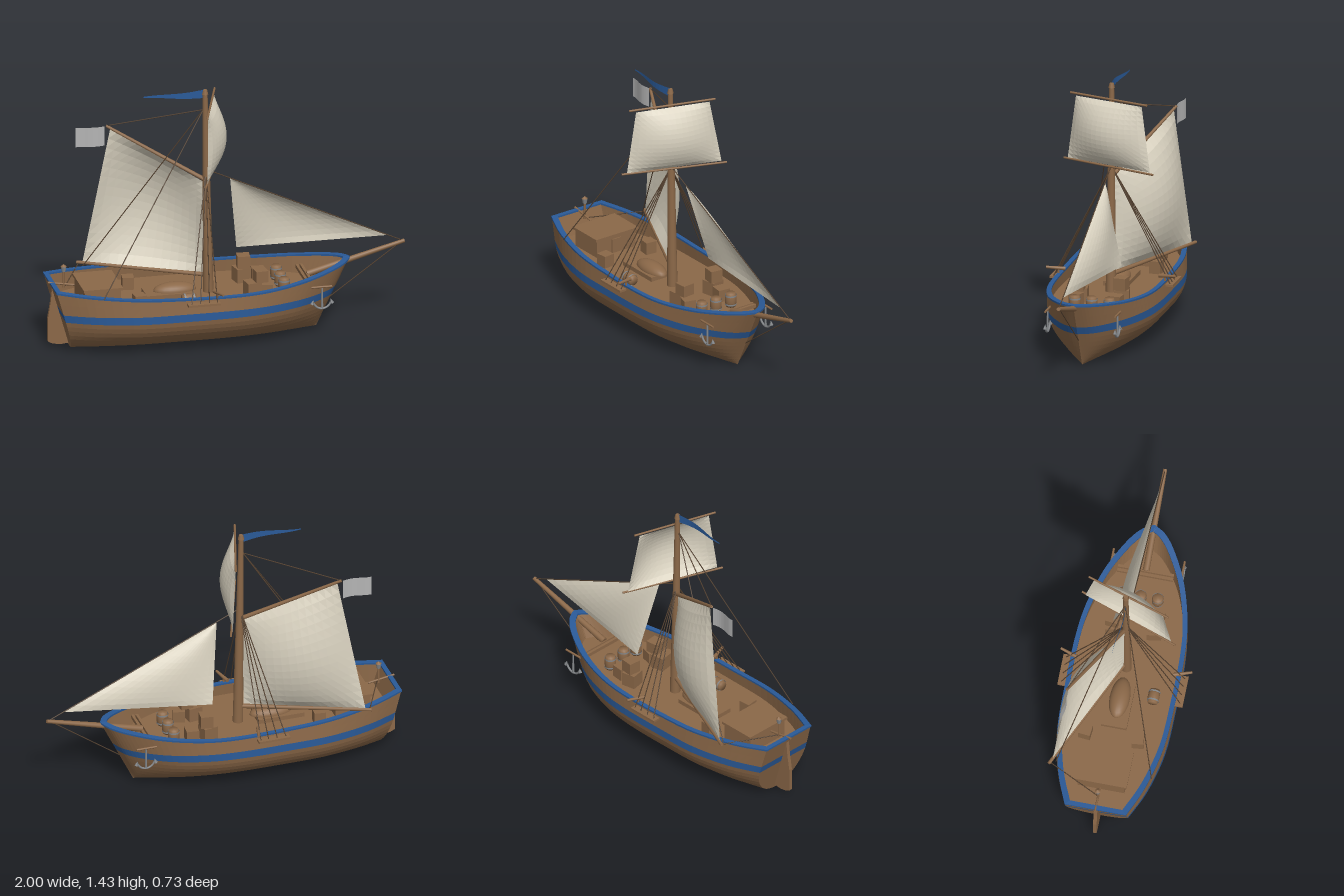
import * as THREE from 'three';

const flatMat = (name, color) => {
  const m = new THREE.MeshStandardMaterial({ color, side: THREE.DoubleSide });
  m.name = name;
  return m;
};
const V = (x, y, z) => new THREE.Vector3(x, y, z);

export function createModel() {
  const ship = new THREE.Group();
  ship.name = 'sailingShip';
  const wood = flatMat('wood', 0x8b6848);
  const blue = flatMat('bluePaint', 0x2a5a98);
  const canvas = flatMat('canvas', 0xd8d1bf);
  const rope = flatMat('rope', 0x574331);
  const metal = flatMat('metal', 0x85888b);
  const cloth = flatMat('greyCloth', 0xb4b4b4);

  const add = (name, geo, mat, x = 0, y = 0, z = 0, parent = ship) => {
    const m = new THREE.Mesh(geo, mat);
    m.name = name;
    m.position.set(x, y, z);
    parent.add(m);
    return m;
  };
  const box = (name, w, h, d, x, y, z, turn = 0) => {
    const m = add(name, new THREE.BoxGeometry(w, h, d), wood, x, y, z);
    m.rotation.y = turn;
    return m;
  };
  // tapered round bar between two points
  const rod = (name, a, b, r1, r2 = r1, mat = wood, sides = 10) => {
    const d = b.clone().sub(a);
    const m = add(name, new THREE.CylinderGeometry(r2, r1, d.length(), sides), mat);
    m.position.copy(a).addScaledVector(d, 0.5);
    m.quaternion.setFromUnitVectors(V(0, 1, 0), d.normalize());
    return m;
  };
  const line = (name, a, b) => rod(name, a, b, 0.003, 0.003, rope, 5);
  // faceted sheet through rows of points
  const sheet = (name, rows, mat) => {
    const n = rows[0].length, idx = [];
    for (let i = 0; i < rows.length - 1; i++)
      for (let j = 0; j < n - 1; j++) {
        const a = i * n + j, b = a + 1, c = a + n, d = c + 1;
        idx.push(a, b, d, a, d, c);
      }
    let g = new THREE.BufferGeometry().setFromPoints(rows.flat());
    g.setIndex(idx);
    g = g.toNonIndexed();
    g.computeVertexNormals();
    return add(name, g, mat);
  };

  // ---- hull: deck outline swept down through rounded sections ----
  const DECK = 0.25;
  const plan = new THREE.SplineCurve([[-0.985, 0.175], [-0.8, 0.25], [-0.55, 0.303], [-0.27, 0.312], [0, 0.31],
    [0.2, 0.288], [0.4, 0.23], [0.55, 0.15], [0.64, 0.075], [0.68, 0]].map(p => new THREE.Vector2(...p))).getPoints(45);
  const loop = [...plan.map(p => [p.x, p.y, 1]), ...plan.slice(0, -1).reverse().map(p => [p.x, p.y, -1])];
  loop.push(loop[0]);
  const top = x => 0.32 + (x < 0 ? 0.048 * (x / 0.98) ** 2 : 0.063 * (x / 0.68) ** 2);
  const hullPoint = ([x, w, side], y, inset = 0) => {
    const t = y / 0.37, f = (x + 0.985) / 1.665;
    const fullness = y < 0.22 ? Math.sqrt(1 - ((0.22 - y) / 0.22) ** 2) : 1 - 0.3 * (y - 0.22);
    const px = THREE.MathUtils.lerp(-0.88 - 0.105 * t, 0.5 + 0.18 * t, f);
    return V(px - (px + 0.15) * inset * 1.25, y, side * Math.max(0, w * fullness - inset));
  };
  const band = ys => ys.map(y => loop.map(s => hullPoint(s, y)));
  sheet('lowerHull', band([0, 0.003, 0.01, 0.022, 0.04, 0.062, 0.088, 0.116, 0.145, 0.173, 0.2]), wood);
  sheet('hullStripe', band([0.2, 0.243]), blue);
  sheet('upperHull', [0, 0.5, 1].map(k => loop.map(s => hullPoint(s, THREE.MathUtils.lerp(0.243, top(s[0]), k)))), wood);
  sheet('innerBulwark', [0, 1].map(k => loop.map(s => hullPoint(s, k ? top(s[0]) : DECK, 0.02))), wood);
  sheet('railCap', [[-0.003, -0.004], [-0.003, 0.006], [0.022, 0.006], [0.022, -0.004]].map(([inset, dy]) =>
    loop.map(s => hullPoint(s, top(s[0]), inset).add(V(0, dy, 0)))), blue);
  sheet('deck', plan.map(p => [1, -1].map(side => hullPoint([p.x, p.y, side], DECK, 0.018))), wood);

  // ---- rudder and tiller ----
  const blade = new THREE.Shape([[-0.88, 0.02], [-0.93, 0.014], [-0.975, 0.022], [-1, 0.035], [-1, 0.17],
    [-0.985, 0.26], [-0.975, 0.36], [-0.96, 0.28]].map(p => new THREE.Vector2(...p)));
  add('rudder', new THREE.ExtrudeGeometry(blade, { depth: 0.02, bevelEnabled: false }), wood, 0, 0, -0.01);
  rod('tiller', V(-1, 0.375, 0), V(-0.85, 0.35, 0), 0.006);

  // ---- deck fittings ----
  box('cabin', 0.2, 0.1, 0.26, -0.72, 0.3, 0);
  box('cabinRoof', 0.22, 0.015, 0.285, -0.72, 0.357, 0);
  box('cabinDoor', 0.008, 0.08, 0.06, -0.618, 0.295, 0);
  box('hatch', 0.26, 0.025, 0.14, -0.33, 0.262, 0);
  for (const s of [1, -1]) {
    box('sternChest', 0.065, 0.07, 0.065, -0.52, 0.285, s * 0.145, s * 0.1);
    box('bowBeam', 0.015, 0.02, 0.31, 0.44 + s * 0.012, 0.295, 0);
    box('channel', 0.18, 0.012, 0.045, -0.2, 0.302, s * 0.325);
  }
  const crates = [[0.11, -0.12, 0.08, 0.2], [0.2, -0.11, 0.07, -0.1], [0.12, 0.11, 0.08, 0.15], [0.2, 0.115, 0.065, -0.25]];
  for (const [x, z, size, turn] of crates) box('crate', size, size, size, x, DECK + size / 2, z, turn);
  box('upperCrate', 0.07, 0.07, 0.07, 0.12, 0.365, -0.118, -0.1);
  box('upperCrate', 0.07, 0.065, 0.07, 0.165, 0.362, 0.112, 0.1);

  // upturned rowing boat
  const boat = add('rowingBoat', new THREE.SphereGeometry(1, 20, 8, 0, Math.PI * 2, 0, Math.PI / 2), wood, -0.29, 0.274, 0);
  boat.scale.set(0.12, 0.045, 0.056);

  // barrels with hoops
  const barrel = (x, y, z) => {
    const g = new THREE.Group();
    g.name = 'barrel';
    g.position.set(x, y, z);
    const prof = [[0, -0.04], [0.026, -0.04], [0.032, -0.015], [0.032, 0.015], [0.026, 0.04], [0, 0.04]];
    add('barrelBody', new THREE.LatheGeometry(prof.map(p => new THREE.Vector2(...p)), 14), wood, 0, 0, 0, g);
    for (const h of [-0.025, 0.025])
      add('barrelHoop', new THREE.CylinderGeometry(0.0325, 0.0325, 0.009, 14, 1, true), metal, 0, h, 0, g);
    ship.add(g);
    return g;
  };
  for (const z of [-0.1, 0, 0.095]) barrel(0.3, 0.29, z);
  barrel(-0.25, 0.283, 0.18).rotation.z = Math.PI / 2;

  // stern lantern
  rod('lanternPost', V(-0.91, 0.34, 0), V(-0.91, 0.435, 0), 0.006);
  add('lantern', new THREE.CylinderGeometry(0.016, 0.011, 0.028, 8), metal, -0.91, 0.448, 0);
  add('lanternCap', new THREE.ConeGeometry(0.017, 0.014, 8), wood, -0.91, 0.469, 0);

  // rail guns and anchors
  for (const s of [1, -1]) {
    rod('railGun', V(-0.13, 0.35, s * 0.265), V(-0.1, 0.36, s * 0.365), 0.011, 0.007);
    rod('railGunPost', V(-0.12, 0.31, s * 0.3), V(-0.12, 0.352, s * 0.3), 0.006);
    const z = s * 0.197;
    rod('anchorShank', V(0.49, 0.17, z), V(0.49, 0.3, z), 0.006, 0.005, metal);
    rod('anchorStock', V(0.43, 0.297, z), V(0.545, 0.297, z), 0.006);
    const arms = add('anchorArms', new THREE.TorusGeometry(0.05, 0.006, 6, 14, Math.PI * 0.8), metal, 0.49, 0.222, z);
    arms.rotation.z = Math.PI * 1.1;
    for (const k of [1, -1]) {
      const fluke = add('anchorFluke', new THREE.ConeGeometry(0.012, 0.028, 4), metal, 0.49 + k * 0.052, 0.212, z);
      fluke.rotation.z = k * 0.3;
    }
  }

  // ---- masts and spars ----
  const masthead = V(-0.13, 1.31, 0);
  rod('mast', V(-0.102, DECK, 0), V(-0.12, 1.41, 0), 0.029, 0.014, wood, 14);
  rod('mastCap', V(-0.12, 1.4, 0), V(-0.12, 1.425, 0), 0.018, 0.012);
  rod('bowsprit', V(0.45, 0.305, 0), V(0.995, 0.453, 0), 0.019, 0.011);
  rod('boom', V(-0.1, 0.345, 0), V(-0.77, 0.365, -0.3), 0.012, 0.009);
  rod('gaff', V(-0.11, 0.895, 0), V(-0.62, 1.172, -0.23), 0.012, 0.008);
  rod('lowerYard', V(-0.18, 0.965, 0.285), V(0.028, 0.965, -0.272), 0.006);
  rod('upperYard', V(-0.165, 1.342, 0.245), V(-0.015, 1.342, -0.226), 0.006);

  // ---- sails: four corners with a billow ----
  const sail = (name, a, b, c, d, billow, mat = canvas, n = 14) => {
    const rows = [];
    for (let i = 0; i <= n; i++) {
      const row = [];
      for (let j = 0; j <= n; j++) {
        const u = j / n, v = i / n;
        const p = a.clone().lerp(b, u).lerp(c.clone().lerp(d, u), v);
        row.push(p.addScaledVector(billow, Math.sin(Math.PI * u) ** 0.8 * Math.sin(Math.PI * v) ** 0.7));
      }
      rows.push(row);
    }
    return sheet(name, rows, mat);
  };
  sail('mainsail', V(-0.13, 0.89, -0.005), V(-0.6, 1.155, -0.222), V(-0.13, 0.36, -0.01), V(-0.74, 0.37, -0.285), V(0.035, 0, -0.1));
  sail('topsail', V(-0.15, 1.33, 0.21), V(-0.025, 1.33, -0.195), V(-0.165, 0.972, 0.26), V(0.01, 0.972, -0.25), V(0.075, 0, 0.025));
  const head = V(0.02, 0.898, 0);
  sail('jib', head, head, V(0.9, 0.492, 0), V(0.08, 0.45, -0.11), V(0, 0, -0.04));

  // ---- flags ----
  const flag = (name, x0, x1, z, lo, hi, wave, mat) => {
    const rows = [];
    for (let i = 0; i <= 12; i++) {
      const t = i / 12, x = x0 + (x1 - x0) * t, dz = z + wave * Math.sin(t * 5);
      rows.push([V(x, lo(t), dz), V(x, hi(t), dz)]);
    }
    sheet(name, rows, mat);
  };
  flag('pennant', -0.125, -0.46, 0, t => 1.378 + 0.025 * t, t => 1.427 - 0.018 * t, 0.012, blue);
  flag('sternFlag', -0.63, -0.79, -0.23, () => 1.058, () => 1.17, 0.008, cloth);

  // ---- rigging ----
  line('forestay', V(-0.1, 0.955, 0), V(0.99, 0.452, 0));
  line('bobstay', V(0.97, 0.444, 0), V(0.575, 0.16, 0));
  line('gaffLift', masthead, V(-0.62, 1.172, -0.23));
  line('mainSheet', V(-0.76, 0.36, -0.295), V(-0.9, 0.35, 0));
  for (const s of [1, -1]) {
    line('backstay', masthead, V(-0.745, 0.35, s * 0.265));
    for (const x of [-0.27, -0.22, -0.17, -0.125]) line('shroud', V(-0.115, 0.955, 0), V(x, 0.305, s * 0.33));
  }
  return ship;
}
